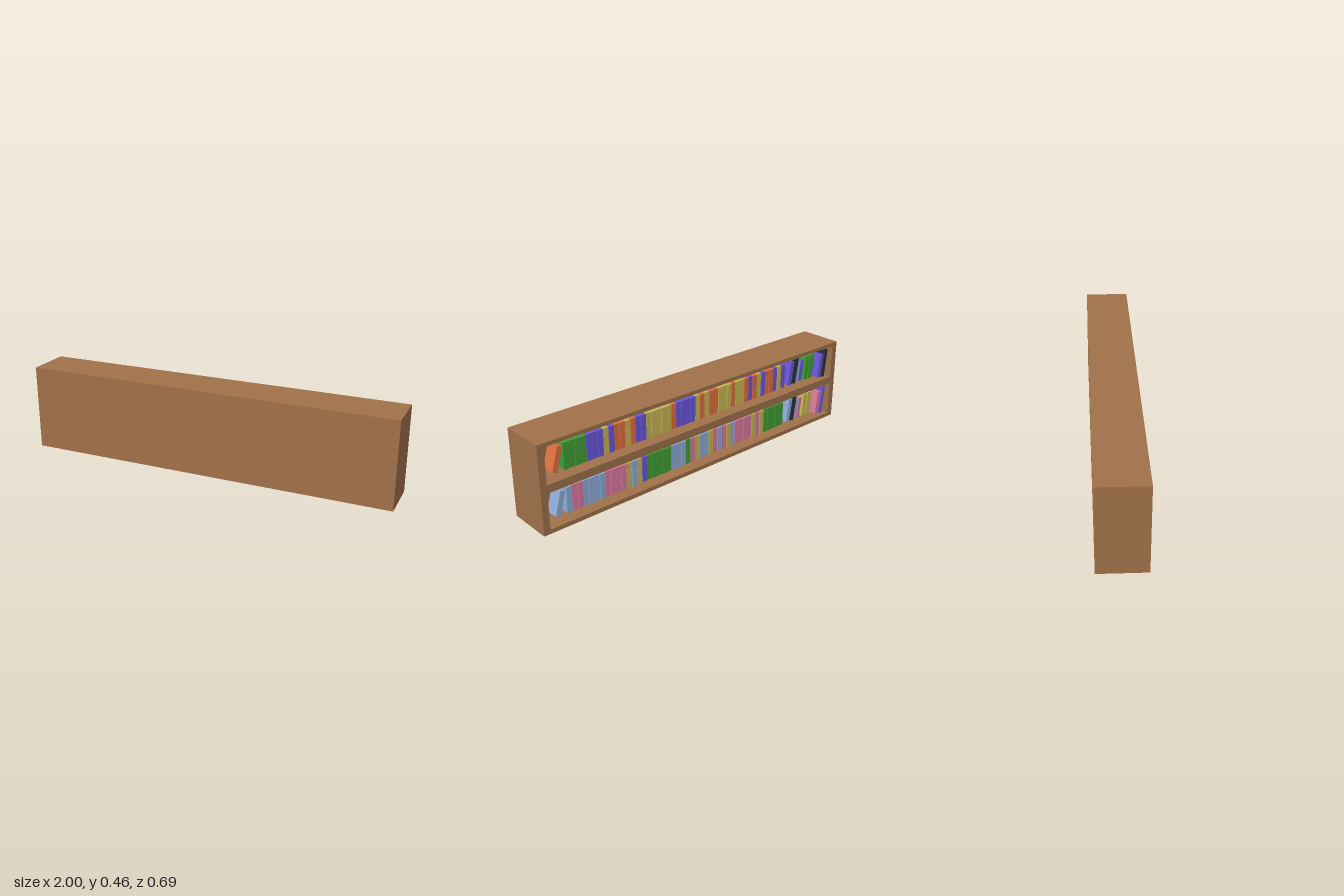
import * as THREE from 'three';

const LENGTH = 2.0, DEPTH = 0.241, UNIT = 0.23, SIDE = 0.035, FLOOR = 0.0225, TOP = 0.02;
const BACK = 0.02; // depth position of the inner back wall; the open side is local -z

const material = (color) => new THREE.MeshStandardMaterial({ color });
const wood = material(0xa0714a);
const covers = {
  B: material(0x6a58dc), O: material(0xe0703f), Y: material(0xc9b754), G: material(0x3f9f35),
  P: material(0xdb7a9c), L: material(0x8fadd8), K: material(0x2b2f36),
};

// Box given by its lower and upper corner
function board(name, min, max) {
  const size = max.map((v, i) => v - min[i]);
  const mesh = new THREE.Mesh(new THREE.BoxGeometry(...size), wood);
  mesh.name = name;
  mesh.position.set(...min.map((v, i) => v + size[i] / 2));
  return mesh;
}

// Book pivoting on its lower -x edge, so a lean stays on the shelf
function book(code, x, thick, tall, deep, lean = 0) {
  const geometry = new THREE.BoxGeometry(thick, tall, deep).translate(thick / 2, tall / 2, BACK - deep / 2);
  const mesh = new THREE.Mesh(geometry, covers[code]);
  mesh.name = lean ? 'leaningBook' : 'book';
  mesh.position.set(x, FLOOR, 0);
  mesh.rotation.z = lean;
  return mesh;
}

function carcass() {
  const g = new THREE.Group();
  g.name = 'shelfCase';
  const x = LENGTH / 2, z = DEPTH / 2;
  g.add(
    board('floorBoard', [-x, 0, -z], [x, FLOOR, z]),
    board('topBoard', [-x, UNIT - TOP, -z], [x, UNIT, z]),
    board('backPanel', [-x + SIDE, FLOOR, BACK], [x - SIDE, UNIT - TOP, z]),
  );
  for (const s of [-1, 1]) {
    const a = s * x, b = s * (x - SIDE);
    g.add(board('endPanel', [Math.min(a, b), FLOOR, -z], [Math.max(a, b), UNIT - TOP, z]));
  }
  return g;
}

// Long upright row, running from +x to -x
function bookRow(codes) {
  const g = new THREE.Group();
  g.name = 'bookRow';
  const start = 0.83, pitch = (start + 0.645) / codes.length;
  [...codes].forEach((c, i) => {
    const deep = 0.074 - 0.002 * (i % 2);
    g.add(book(c, start - (i + 1) * pitch, pitch - 0.002, 0.137, deep));
  });
  return g;
}

// Loose books after the row: [x, thickness, height, depth, lean]
const LOOSE = [
  [-0.700, 0.026, 0.137, 0.074, 0.15],
  [-0.735, 0.030, 0.152, 0.074, 0.15],
  [-0.765, 0.022, 0.118, 0.066, 0.15],
  [-0.795, 0.024, 0.118, 0.066, 0.14],
  [-0.838, 0.030, 0.137, 0.074, 0.09],
  [-0.876, 0.032, 0.137, 0.074, 0.09],
  [-0.914, 0.025, 0.137, 0.108, 0.12],
  [-0.940, 0.020, 0.162, 0.113, 0.12],
];

function shelfUnit(name, row, loose, first) {
  const g = new THREE.Group();
  g.name = name;
  g.add(carcass(), bookRow(row));
  [...loose].forEach((c, i) => g.add(book(c, ...LOOSE[i])));
  // Book leaning on the +x end of the row
  g.add(book(first, 0.866, 0.028, 0.13, 0.074, 0.27));
  return g;
}

export function createModel() {
  const model = new THREE.Group();
  model.name = 'bookshelf';
  const lower = shelfUnit('lowerShelf', 'LPPLLLLPPPPYLYBGGGGGLLLGPYLLYPLPYLPPPPYPYGGGGG', 'LKLPYYPB', 'L');
  const upper = shelfUnit('upperShelf', 'GGGGBBBYBOOYOBBYYYYYOBBBBYOYOOYYYOYYOBOYBOOBYB', 'BKLBGGBK', 'O');
  upper.position.y = UNIT;
  const turned = new THREE.Group();
  turned.name = 'shelves';
  turned.rotation.y = -0.2299;
  turned.add(lower, upper);
  model.add(turned);
  return model;
}
